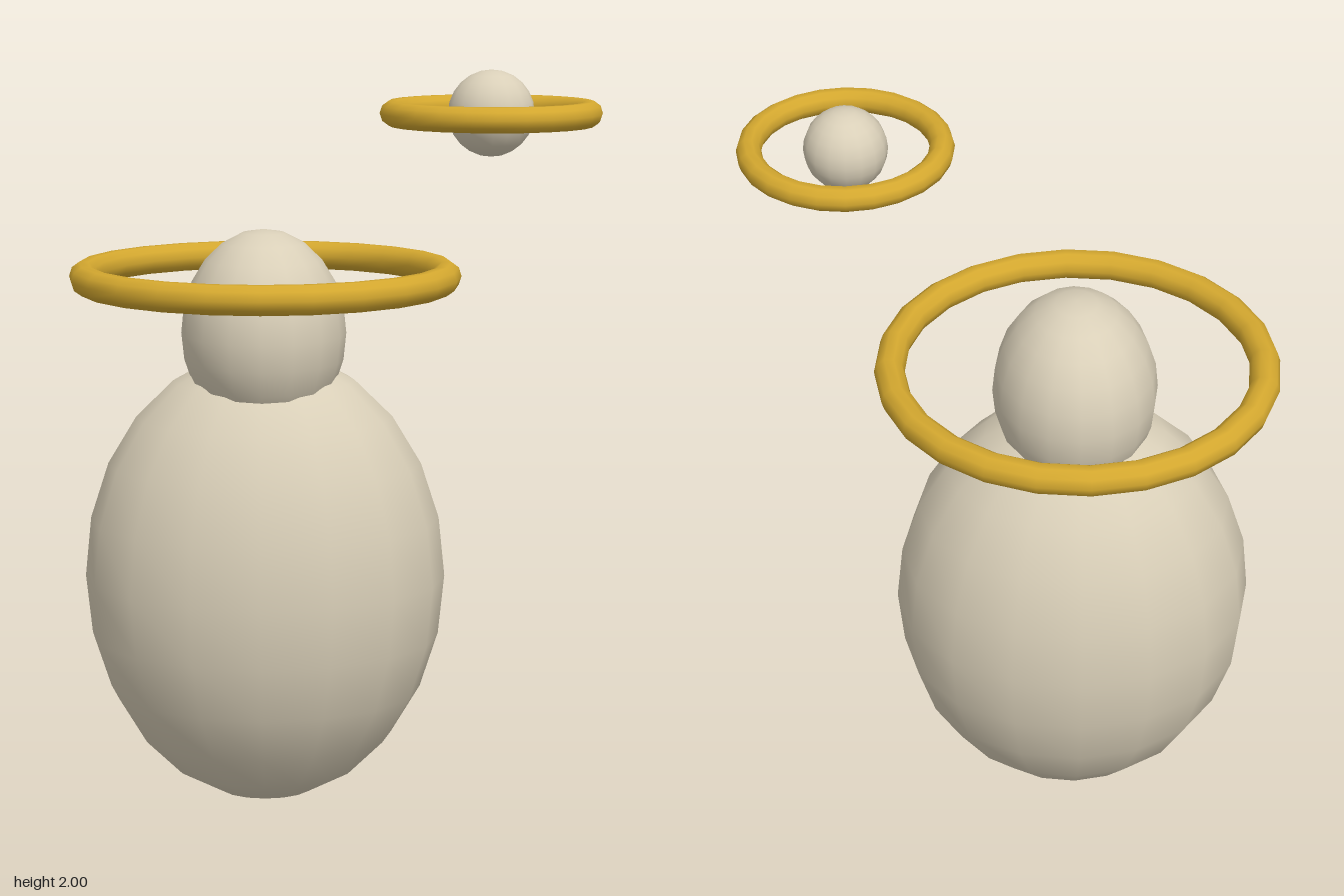
import * as THREE from 'three';

export function createModel() {
  const model = new THREE.Group();

  const cream = new THREE.MeshStandardMaterial({ color: 0xd9cfb8 });
  cream.name = 'cream';
  const gold = new THREE.MeshStandardMaterial({ color: 0xd4a82f });
  gold.name = 'gold';

  // Smooth ellipsoid with separate radii per axis
  function ellipsoid(name, radii, position) {
    const geometry = new THREE.SphereGeometry(1, 16, 12).scale(...radii);
    const mesh = new THREE.Mesh(geometry, cream);
    mesh.name = name;
    mesh.position.set(...position);
    model.add(mesh);
  }

  // Flat-lying ring
  function ring(name, radius, tube, position) {
    const geometry = new THREE.TorusGeometry(radius, tube, 10, 24).rotateX(Math.PI / 2);
    const mesh = new THREE.Mesh(geometry, gold);
    mesh.name = name;
    mesh.position.set(...position);
    model.add(mesh);
  }

  // Egg-shaped body with the head sunk into its top
  ellipsoid('body', [0.487, 0.62, 0.416], [-0.172, 0.62, 0.017]);
  ellipsoid('head', [0.22, 0.277, 0.248], [-0.172, 1.29, 0.045]);
  ring('headRing', 0.488, 0.04, [-0.17, 1.429, -0.055]);

  // Small ringed ball floating above the left front
  ellipsoid('floatingBall', [0.11, 0.11, 0.11], [0.414, 1.89, 0.298]);
  ring('ballRing', 0.25, 0.033, [0.414, 1.89, 0.298]);

  return model;
}
